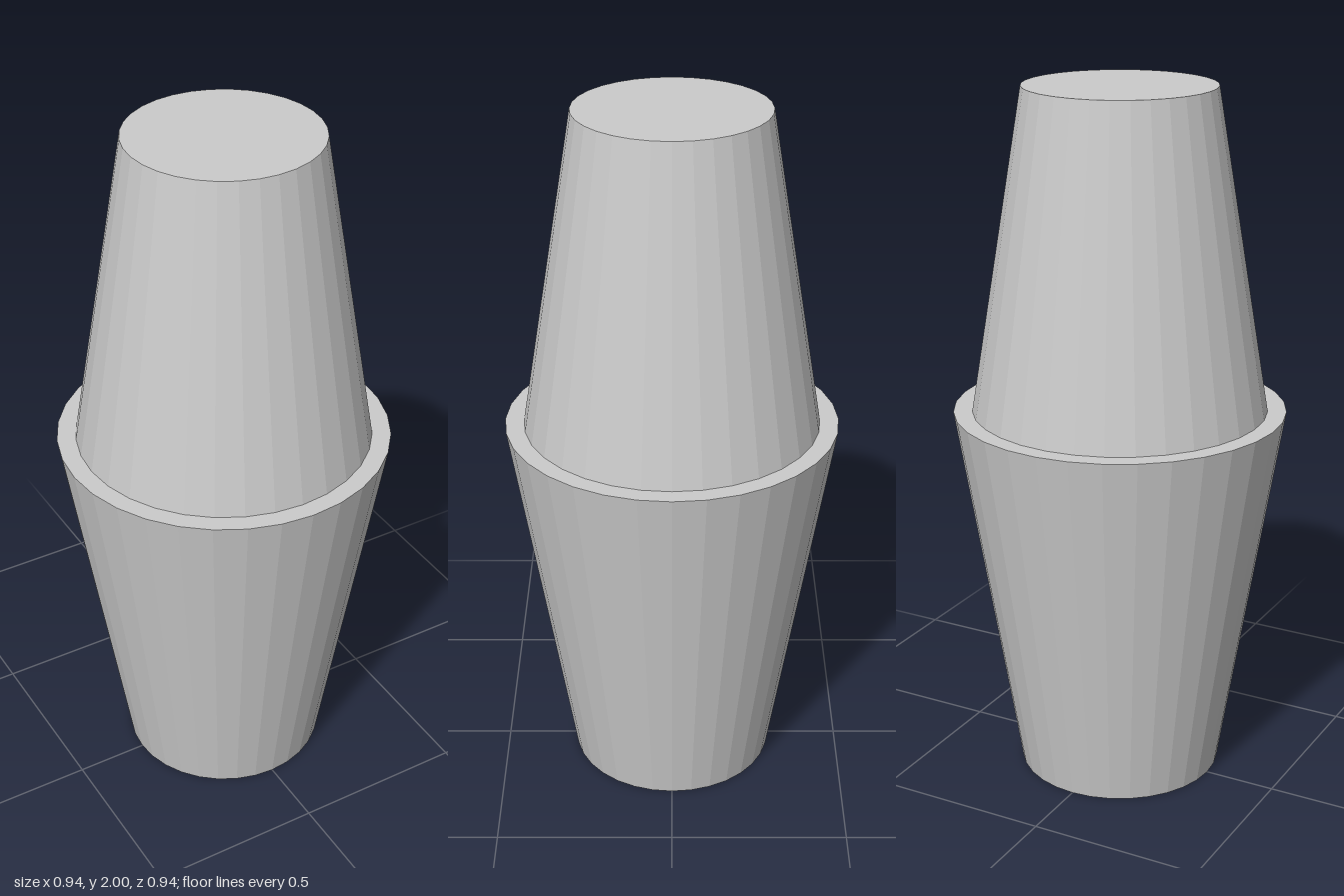
import * as THREE from 'three';

const SIDES = 32;

export function createModel() {
  const model = new THREE.Group();
  const material = new THREE.MeshStandardMaterial({ color: 0xcccccc, flatShading: true });

  // Closed tapered drum standing between two heights
  function addCone(name, topRadius, bottomRadius, y0, y1) {
    const geometry = new THREE.CylinderGeometry(topRadius, bottomRadius, y1 - y0, SIDES);
    const mesh = new THREE.Mesh(geometry, material);
    mesh.name = name;
    mesh.position.y = (y0 + y1) / 2;
    model.add(mesh);
  }

  // Lower body widens upward to the ledge
  addCone('lowerBody', 0.47, 0.292, 0, 1.093);
  // Upper body is set in from the ledge and narrows to the flat top
  addCone('upperBody', 0.267, 0.417, 1.093, 2);

  return model;
}
